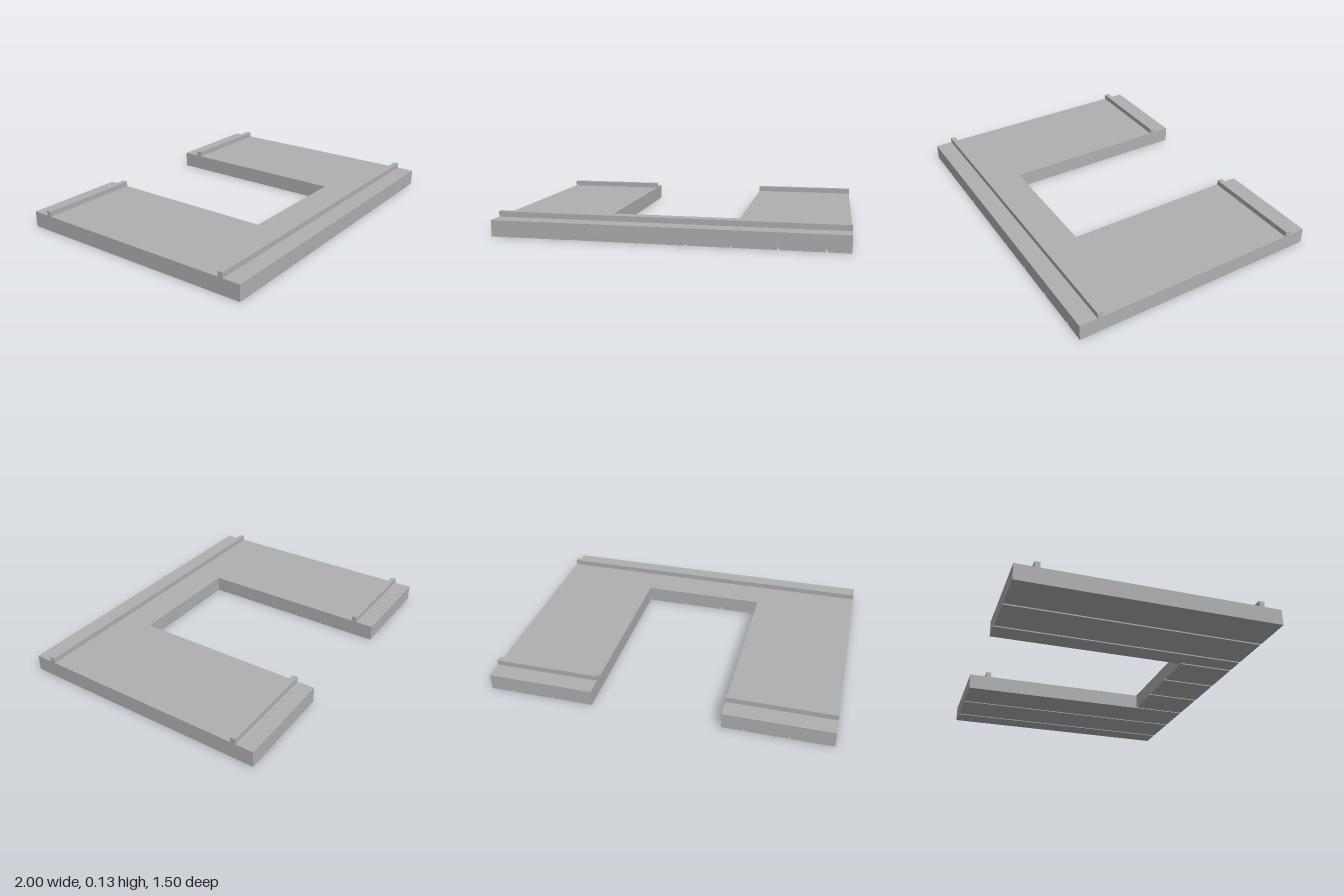
import * as THREE from 'three';

const TOP = 0.095, INNER = 0.377, BACK = -0.75, BRIDGE = 0.42, FRONT = 0.75;

export function createModel() {
  const group = new THREE.Group();
  const concrete = new THREE.MeshStandardMaterial({ color: 0xb0b0b0 });
  concrete.name = 'concrete grey';

  // slab section with small pointed grooves along its underside
  function slab(name, x0, x1, z0, z1, grooves) {
    const s = new THREE.Shape();
    s.moveTo(x0, 0);
    for (const g of grooves) {
      s.lineTo(g - 0.006, 0);
      s.lineTo(g - 0.006, 0.011);
      s.lineTo(g, 0.018);
      s.lineTo(g + 0.006, 0.011);
      s.lineTo(g + 0.006, 0);
    }
    s.lineTo(x1, 0);
    s.lineTo(x1, TOP);
    s.lineTo(x0, TOP);
    s.closePath();
    const geo = new THREE.ExtrudeGeometry(s, { depth: z1 - z0, bevelEnabled: false });
    geo.translate(0, 0, z0);
    const mesh = new THREE.Mesh(geo, concrete);
    mesh.name = name;
    group.add(mesh);
  }

  // raised rail across the top
  function rail(name, x0, x1, z) {
    const mesh = new THREE.Mesh(new THREE.BoxGeometry(x1 - x0, 0.032, 0.032), concrete);
    mesh.position.set((x0 + x1) / 2, TOP + 0.016, z);
    mesh.name = name;
    group.add(mesh);
  }

  // U-shaped deck: two rear legs joined by the front strip
  const rightGrooves = [-0.755, -0.505], leftGrooves = [0.62, 0.87];
  slab('rightLeg', -1, -INNER, BACK, BRIDGE, rightGrooves);
  slab('leftLeg', INNER, 1, BACK, BRIDGE, leftGrooves);
  slab('frontStrip', -1, 1, BRIDGE, FRONT,
    [...rightGrooves, -0.383, -0.13, 0.12, 0.37, ...leftGrooves]);

  // rails
  rail('frontRail', -1, 1, 0.629);
  rail('rightRearRail', -1, -INNER, -0.629);
  rail('leftRearRail', INNER, 1, -0.629);

  return group;
}
